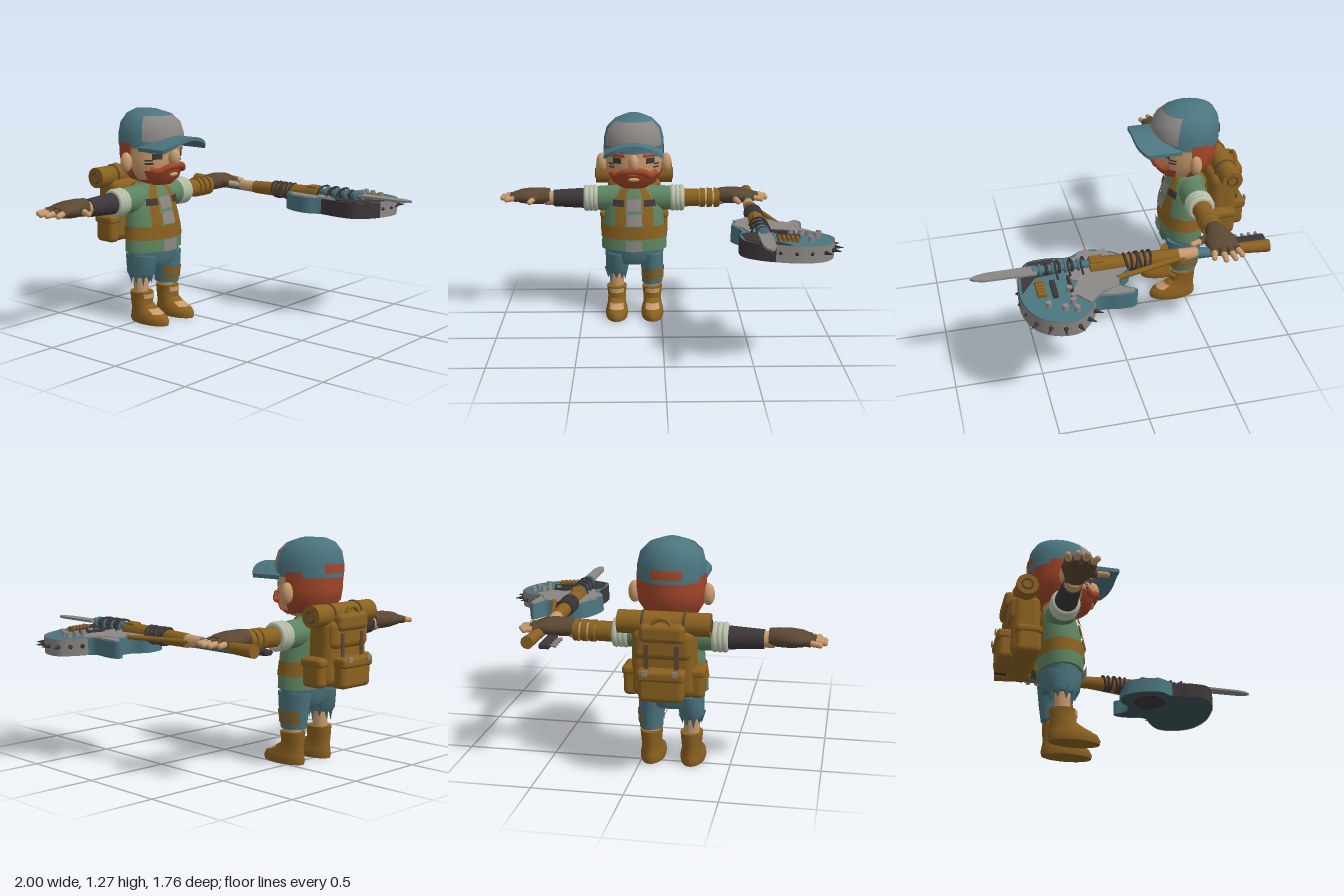
import * as THREE from 'three';
import { toCreasedNormals } from 'three/addons/utils/BufferGeometryUtils.js';
import { RoundedBoxGeometry } from 'three/addons/geometries/RoundedBoxGeometry.js';

const mat = (name, color, side = THREE.FrontSide) => {
  const m = new THREE.MeshStandardMaterial({ color, side });
  m.name = name;
  return m;
};

export function createModel() {
  const D = THREE.DoubleSide;
  const teal = mat('teal cloth', 0x4b757f, D), brown = mat('brown leather', 0x8a6120, D);
  const green = mat('green shirt', 0x5f8460), dark = mat('charcoal', 0x3c3638, D);
  const skin = mat('skin', 0xc79a6c, D), red = mat('red hair', 0xa4472a, D);
  const gray = mat('gray metal', 0x8b8784, D), cream = mat('cream cuff', 0xb9c2ac);
  const glove = mat('glove brown', 0x5b4733), slate = mat('slate', 0x3d5258);

  const model = new THREE.Group();
  const figure = new THREE.Group();
  figure.name = 'figure';
  figure.position.set(-0.17, 0, -0.53);
  const guitar = new THREE.Group();
  guitar.name = 'guitar';
  model.add(figure, guitar);

  const V = (x, y, z) => new THREE.Vector3(x, y, z);
  const add = (parent, name, geo, m, x = 0, y = 0, z = 0) => {
    const mesh = new THREE.Mesh(geo, m);
    mesh.name = name;
    mesh.position.set(x, y, z);
    parent.add(mesh);
    return mesh;
  };
  // Skin over elliptical rows [y, rx, rz, cz, cx]; angle 0 faces +z
  const loft = (rows, a0 = 0, a1 = Math.PI * 2, n = 24, caps = true) => {
    const pos = [], idx = [], w = n + 1;
    rows.forEach(([y, rx, rz, cz = 0, cx = 0]) => {
      for (let j = 0; j <= n; j++) {
        const a = a0 + (a1 - a0) * j / n;
        pos.push(cx + rx * Math.sin(a), y, cz + rz * Math.cos(a));
      }
    });
    for (let i = 0; i < rows.length - 1; i++) for (let j = 0; j < n; j++) {
      const p = i * w + j;
      idx.push(p, p + 1, p + w + 1, p, p + w + 1, p + w);
    }
    if (caps) [0, rows.length - 1].forEach((r) => {
      const [y, , , cz = 0, cx = 0] = rows[r], c = pos.length / 3;
      pos.push(cx, y, cz);
      for (let j = 0; j < n; j++) {
        const p = r * w + j;
        if (r) idx.push(c, p, p + 1); else idx.push(c, p + 1, p);
      }
    });
    const g = new THREE.BufferGeometry();
    g.setAttribute('position', new THREE.Float32BufferAttribute(pos, 3));
    g.setIndex(idx);
    return toCreasedNormals(g, 0.8);
  };
  // Thin layer lying on a loft between two heights and two angles
  const patch = (rows, y0, y1, a0, a1, off) => {
    const at = (y) => {
      let i = 0;
      while (i < rows.length - 2 && rows[i + 1][0] < y) i++;
      const A = rows[i], B = rows[i + 1], t = (y - A[0]) / (B[0] - A[0]);
      const mix = (k) => (A[k] || 0) + ((B[k] || 0) - (A[k] || 0)) * t;
      return [y, mix(1) + off, mix(2) + off, mix(3), mix(4)];
    };
    const ys = rows.map((r) => r[0]).filter((y) => y > y0 + 0.001 && y < y1 - 0.001);
    return loft([y0, ...ys, y1].map(at), a0, a1, 24, false);
  };
  const rod = (parent, name, p, q, r1, r2, m, n = 16) => {
    const d = q.clone().sub(p);
    const mesh = add(parent, name, new THREE.CylinderGeometry(r2, r1, d.length(), n), m);
    mesh.position.copy(p).addScaledVector(d, 0.5);
    mesh.quaternion.setFromUnitVectors(V(0, 1, 0), d.normalize());
    return mesh;
  };
  const ball = (parent, name, m, x, y, z, a, b, c) =>
    add(parent, name, new THREE.SphereGeometry(1, 18, 12), m, x, y, z).scale.set(a, b, c);
  const box = (parent, name, m, x, y, z, w, h, d, r = 0.01) =>
    add(parent, name, new RoundedBoxGeometry(w, h, d, 2, r), m, x, y, z);
  const ring = (parent, name, m, x, y, z, r, t, axis) => {
    const mesh = add(parent, name, new THREE.TorusGeometry(r, t, 8, 24), m, x, y, z);
    if (axis === 'x') mesh.rotation.y = Math.PI / 2;
    return mesh;
  };

  // Head, hair and beard
  const head = [[0.835, 0.07, 0.08, 0.06], [0.87, 0.135, 0.135, 0.04], [0.93, 0.17, 0.17, 0.025],
    [1.0, 0.178, 0.175, 0.02], [1.1, 0.178, 0.178, 0.02]];
  add(figure, 'head', loft(head), skin);
  rod(figure, 'neck', V(0, 0.78, 0), V(0, 0.88, 0), 0.07, 0.07, skin);
  add(figure, 'hair', patch(head, 0.86, 1.09, 1.5, Math.PI * 2 - 1.5, 0.01), red);
  add(figure, 'beard', patch(head, 0.835, 0.93, -1.05, 1.05, 0.016), red);
  add(figure, 'chin', loft([[0.83, 0.05, 0.06, 0.07], [0.85, 0.1, 0.11, 0.06], [0.87, 0.14, 0.14, 0.05]]), red);
  ball(figure, 'lip', skin, 0, 0.9, 0.205, 0.035, 0.012, 0.012);
  ball(figure, 'nose', skin, 0, 1.0, 0.205, 0.034, 0.055, 0.04);
  for (const s of [-1, 1]) {
    ball(figure, 'ear', skin, s * 0.2, 0.975, 0.01, 0.035, 0.06, 0.035);
    const curl = new THREE.CatmullRomCurve3([V(0, 0.955, 0.222), V(s * 0.055, 0.95, 0.215), V(s * 0.1, 0.925, 0.18), V(s * 0.135, 0.935, 0.14)]);
    add(figure, 'moustache', new THREE.TubeGeometry(curl, 16, 0.021, 8), red);
    const a = s * 0.6;
    add(figure, 'eye', patch(head, 0.995, 1.03, a - 0.17, a + 0.17, 0.005), dark);
    add(figure, 'eyebrow', patch(head, 1.035, 1.055, a - 0.3, a + 0.3, 0.012), red);
    for (const y of [0.965, 0.985]) add(figure, 'cheek mark', patch(head, y, y + 0.01, s * 0.88 - 0.14, s * 0.88 + 0.14, 0.005), dark);
  }

  // Cap
  const cap = [[1.06, 0.186, 0.196, 0.02], [1.13, 0.186, 0.198, 0.02], [1.2, 0.168, 0.182, 0.015],
    [1.25, 0.118, 0.142, 0.005], [1.275, 0.05, 0.08, -0.01]];
  add(figure, 'cap', loft(cap), teal);
  add(figure, 'cap front panel', patch(cap, 1.1, 1.245, -1.1, 1.1, 0.006), gray);
  add(figure, 'cap back opening', patch(cap, 1.085, 1.135, Math.PI - 0.45, Math.PI + 0.45, 0.005), red);
  const bill = new THREE.BoxGeometry(0.36, 0.022, 0.26, 16, 1, 8), bp = bill.attributes.position;
  for (let i = 0; i < bp.count; i++) {
    const u = bp.getX(i) / 0.18, f = (bp.getZ(i) + 0.13) / 0.26;
    bp.setY(i, bp.getY(i) - 0.065 * u * u);
    bp.setZ(i, bp.getZ(i) - 0.06 * f * u ** 4);
  }
  add(figure, 'cap bill', toCreasedNormals(bill, 0.8), teal, 0, 1.12, 0.22);

  // Shirt, belt and chest straps
  const torso = [[0.435, 0.205, 0.13, 0.03], [0.5, 0.203, 0.13, 0.03], [0.6, 0.188, 0.13, 0.025],
    [0.7, 0.182, 0.12, 0.01], [0.78, 0.16, 0.105, 0], [0.83, 0.09, 0.075, 0]];
  add(figure, 'shirt', loft(torso), green);
  add(figure, 'belt', patch(torso, 0.51, 0.59, 0, Math.PI * 2, 0.007), brown);
  add(figure, 'chest strap', patch(torso, 0.61, 0.665, -0.65, 0.65, 0.012), brown);
  add(figure, 'upper chest strap', patch(torso, 0.7, 0.735, -0.55, 0.55, 0.012), brown);
  for (const y of [0.435, 0.6, 0.69]) add(figure, 'center plate', patch(torso, y, y + 0.07, -0.24, 0.24, 0.016), gray);
  for (const s of [-1, 1]) {
    add(figure, 'shoulder strap', patch(torso, 0.59, 0.83, s * 0.47 - 0.18, s * 0.47 + 0.18, 0.01), brown);
    add(figure, 'strap pouch', patch(torso, 0.715, 0.755, s * 0.55 - 0.22, s * 0.55 + 0.22, 0.018), dark);
    add(figure, 'back strap', patch(torso, 0.6, 0.83, Math.PI - s * 0.5 - 0.18, Math.PI - s * 0.5 + 0.18, 0.01), brown);
  }

  // Arms and hands
  const AY = 0.745;
  for (const s of [-1, 1]) {
    const along = (name, x0, x1, r0, r1, m) => rod(figure, name, V(s * x0, AY, 0), V(s * x1, AY, 0), r0, r1, m);
    along('sleeve', 0.09, 0.25, 0.085, 0.075, green);
    for (const x of [0.243, 0.27, 0.297]) ring(figure, 'sleeve cuff', cream, s * x, AY, 0, 0.064, 0.02, 'x');
    if (s < 0) along('dark arm sleeve', 0.29, 0.505, 0.066, 0.053, dark);
    else {
      along('leather arm guard', 0.29, 0.41, 0.058, 0.055, brown);
      for (const x of [0.43, 0.475, 0.52]) along('arm wrap', x - 0.016, x + 0.016, 0.062, 0.06, brown);
    }
    along('forearm', 0.3, 0.56, 0.052, 0.044, skin);
    const palm = add(figure, 'glove', loft([[0.53, 0.047, 0.05], [0.58, 0.052, 0.062], [0.65, 0.05, 0.09],
      [0.71, 0.042, 0.088], [0.75, 0.025, 0.07]]), glove, 0, 0.76, 0);
    palm.rotation.z = -s * Math.PI / 2;
    // Fingers: [base x, base z, tip x, tip z]
    [[0.71, -0.06, 0.8, -0.082], [0.73, -0.025, 0.825, -0.035], [0.73, 0.015, 0.825, 0.018],
      [0.71, 0.05, 0.795, 0.075], [0.62, 0.06, 0.645, 0.155]].forEach(([x0, z0, x1, z1]) => {
      const p = V(s * x0, 0.76, z0), q = V(s * x1, 0.75, z1), m = p.clone().lerp(q, 0.5);
      rod(figure, 'glove finger', p, m, 0.025, 0.022, glove, 10);
      rod(figure, 'finger', m, q, 0.018, 0.015, skin, 10);
      ball(figure, 'fingertip', skin, q.x, q.y, q.z, 0.016, 0.016, 0.016);
    });
  }

  // Shorts, legs and boots
  add(figure, 'shorts hip', loft([[0.34, 0.12, 0.09, 0.03], [0.38, 0.183, 0.11, 0.03], [0.46, 0.185, 0.115, 0.03]]), teal);
  for (const s of [-1, 1]) {
    const x = s * 0.113, low = s < 0 ? 0.28 : 0.205;
    const leg = [[low, 0.064, 0.08, 0.03, x], [0.3, 0.07, 0.095, 0.03, x], [0.41, 0.075, 0.11, 0.03, s * 0.105]];
    add(figure, 'shorts leg', loft(leg), teal);
    if (s > 0) for (const y of [0.235, 0.275]) add(figure, 'shorts patch', patch(leg, y, y + 0.032, -1.2, 2.6, 0.005), brown);
    else for (let i = 0; i < 9; i++) {
      const a = i * Math.PI * 2 / 9;
      add(figure, 'torn hem', new THREE.ConeGeometry(0.024, 0.05 + 0.025 * (i % 3), 4), teal,
        x + 0.054 * Math.sin(a), 0.27, 0.03 + 0.068 * Math.cos(a)).rotation.x = Math.PI;
    }
    rod(figure, 'leg', V(x, 0.1, 0.03), V(x, 0.36, 0.03), 0.042, 0.048, skin);
    const boot = [[0, 0.066, 0.14, 0.1, x], [0.02, 0.071, 0.145, 0.1, x], [0.05, 0.068, 0.135, 0.095, x],
      [0.08, 0.058, 0.1, 0.065, x], [0.115, 0.056, 0.075, 0.037, x], [0.185, 0.063, 0.076, 0.035, x]];
    add(figure, 'boot', loft(boot), brown);
    for (const [y0, y1] of [[0.065, 0.092], [0.15, 0.178]]) add(figure, 'boot opening', patch(boot, y0, y1, -0.75, 0.75, 0.004), skin);
  }

  // Backpack and bedroll
  const pack = new THREE.Group();
  pack.name = 'backpack';
  figure.add(pack);
  box(pack, 'pack body', brown, 0, 0.66, -0.19, 0.34, 0.38, 0.16, 0.05);
  box(pack, 'pack flap', brown, 0, 0.76, -0.21, 0.31, 0.16, 0.16, 0.04);
  box(pack, 'back pouch', brown, 0, 0.55, -0.285, 0.24, 0.17, 0.1, 0.03);
  box(pack, 'pouch flap', brown, 0, 0.61, -0.29, 0.25, 0.06, 0.11, 0.02);
  for (const s of [-1, 1]) {
    box(pack, 'side pouch', brown, s * 0.175, 0.555, -0.18, 0.08, 0.17, 0.14, 0.03);
    box(pack, 'side pouch flap', brown, s * 0.178, 0.61, -0.18, 0.085, 0.05, 0.15, 0.02);
    box(pack, 'pack strap', glove, s * 0.08, 0.7, -0.293, 0.025, 0.14, 0.008, 0.003);
    box(pack, 'buckle', gray, s * 0.08, 0.63, -0.35, 0.03, 0.03, 0.008, 0.003);
    ring(pack, 'roll strap', glove, s * 0.11, 0.865, -0.205, 0.062, 0.007, 'x');
    ring(pack, 'roll end spiral', glove, s * 0.246, 0.865, -0.205, 0.03, 0.005, 'x');
  }
  rod(pack, 'bedroll', V(-0.245, 0.865, -0.205), V(0.245, 0.865, -0.205), 0.062, 0.062, brown, 20);
  box(pack, 'top pocket', brown, 0, 0.83, -0.275, 0.24, 0.1, 0.08, 0.03);
  add(pack, 'carry handle', new THREE.TorusGeometry(0.05, 0.012, 8, 16, Math.PI), brown, 0, 0.86, -0.29);

  // Guitar body: outline as [x, z]
  const outline = [[0.48, 0.03], [0.41, 0.13], [0.39, 0.24], [0.43, 0.32], [0.415, 0.45], [0.43, 0.55], [0.51, 0.605],
    [0.62, 0.628], [0.75, 0.625], [0.87, 0.57], [0.93, 0.47], [0.93, 0.36], [0.86, 0.285], [0.785, 0.23], [0.795, 0.12],
    [0.79, 0.04], [0.765, 0.02], [0.71, 0.09], [0.64, 0.08], [0.58, 0.02]];
  const bodyGroup = new THREE.Group();
  bodyGroup.name = 'guitarBody';
  bodyGroup.position.set(0.66, 0.725, 0);
  bodyGroup.rotation.z = -0.055;
  guitar.add(bodyGroup);
  const curve = new THREE.CatmullRomCurve3(outline.map(([x, z]) => V(x - 0.66, 0, z)), true);
  const edge = curve.getPoints(100);
  const slab = (parent, name, pts, depth, m, y, x = 0) => {
    const g = new THREE.ExtrudeGeometry(new THREE.Shape(pts.map((p) => new THREE.Vector2(p[0], p[1]))), { depth, bevelEnabled: false });
    return add(parent, name, g.rotateX(Math.PI / 2), m, x, y, 0);
  };
  slab(bodyGroup, 'guitar body', edge.slice(0, 100).map((p) => [p.x, p.z]), 0.085, slate, 0);
  slab(bodyGroup, 'teal deck', edge.slice(0, 100).map((p) => [p.x, p.z]), 0.005, teal, 0.006);
  slab(bodyGroup, 'jagged metal plate', [[0.48, 0.03], [0.44, 0.1], [0.4, 0.12], [0.415, 0.18], [0.385, 0.22], [0.41, 0.27], [0.44, 0.28],
    [0.47, 0.37], [0.53, 0.32], [0.6, 0.38], [0.64, 0.31], [0.72, 0.36], [0.82, 0.28], [0.75, 0.2], [0.72, 0.11], [0.64, 0.08], [0.58, 0.02]],
  0.008, gray, 0.014, -0.66);
  slab(bodyGroup, 'horn plate', [[0.72, 0.11], [0.765, 0.03], [0.785, 0.04], [0.785, 0.13], [0.77, 0.22]], 0.006, gray, 0.012, -0.66);
  slab(bodyGroup, 'dark guard', [[0.425, 0.42], [0.5, 0.37], [0.55, 0.42], [0.56, 0.53], [0.68, 0.62], [0.51, 0.6], [0.435, 0.545]], 0.006, dark, 0.012, -0.66);
  rod(bodyGroup, 'underside patch', V(-0.12, -0.09, 0.2), V(-0.12, -0.08, 0.2), 0.1, 0.1, dark, 24);
  // Rim bands follow the outline
  const rim = (name, t0, t1, m) => {
    const pos = [], idx = [];
    for (let i = 0; i <= 40; i++) {
      const p = curve.getPoint((t0 + (t1 - t0) * i / 40) % 1);
      for (const y of [0.007, -0.087]) pos.push(p.x * 1.015, y, 0.32 + (p.z - 0.32) * 1.015);
      if (i) idx.push(2 * i - 2, 2 * i, 2 * i - 1, 2 * i, 2 * i + 1, 2 * i - 1);
    }
    const g = new THREE.BufferGeometry();
    g.setAttribute('position', new THREE.Float32BufferAttribute(pos, 3));
    g.setIndex(idx);
    g.computeVertexNormals();
    add(bodyGroup, name, g, m);
  };
  rim('dark rim', 0.15, 0.34, dark);
  rim('metal rim', 0.34, 0.63, gray);
  rim('teal rim', 0.63, 1.15, teal);
  // Rim spikes and studs
  for (let i = 0; i < 9; i++) {
    const t = 0.35 + i * 0.033, p = curve.getPoint(t), d = curve.getTangent(t);
    const out = V(-d.z, 0, d.x).multiplyScalar(-d.z * (p.x - 0.02) + d.x * (p.z - 0.4) > 0 ? 1 : -1);
    const long = i > 2 ? 0.055 : 0.02;
    rod(bodyGroup, 'rim spike', p.clone().setY(-0.035), p.clone().setY(-0.035).addScaledVector(out, long), 0.014, 0.001, dark, 8);
  }
  for (const [x, z] of [[0.7, 0.37], [0.76, 0.36], [0.8, 0.37], [0.84, 0.42], [0.8, 0.5], [0.86, 0.36]])
    rod(bodyGroup, 'knob', V(x - 0.66, 0, z), V(x - 0.66, 0.035, z), 0.018, 0.015, gray, 10);
  for (let i = 0; i < 5; i++) box(bodyGroup, 'pickup coil', brown, -0.04 + i * 0.025, 0.02, 0.52, 0.018, 0.03, 0.05, 0.006);
  box(bodyGroup, 'pickup', dark, 0.02, 0.015, 0.45, 0.13, 0.025, 0.03, 0.006);
  box(bodyGroup, 'bridge', dark, 0.0, 0.018, 0.36, 0.13, 0.02, 0.02, 0.006);

  // Guitar neck and headstock
  rod(guitar, 'neck end', V(0.56, 0.735, -0.79), V(0.548, 0.735, -0.61), 0.036, 0.03, brown, 12);
  rod(guitar, 'painted neck', V(0.548, 0.732, -0.62), V(0.535, 0.735, -0.27), 0.028, 0.032, teal, 12);
  rod(guitar, 'bare neck wood', V(0.537, 0.737, -0.38), V(0.538, 0.737, -0.26), 0.033, 0.037, skin, 10);
  rod(guitar, 'neck stock', V(0.538, 0.737, -0.27), V(0.537, 0.745, 0.23), 0.04, 0.05, brown, 8);
  rod(guitar, 'neck strap', V(0.55, 0.735, -0.33), V(0.655, 0.732, 0.1), 0.016, 0.014, brown, 8);
  box(guitar, 'headstock', dark, 0.465, 0.72, -0.705, 0.06, 0.03, 0.19);
  for (let i = 0; i < 4; i++) rod(guitar, 'tuning peg', V(0.45, 0.72, -0.77 + i * 0.04), V(0.405, 0.72, -0.765 + i * 0.04), 0.008, 0.01, gray, 8);
  for (let i = 0; i < 6; i++) ring(guitar, 'rope coil', dark, 0.538, 0.742, -0.1 + i * 0.025, 0.047, 0.008).rotation.x = 0.2 * (i % 3 - 1);

  // Blade mechanism, cables and blade
  box(guitar, 'stock cap', brown, 0.537, 0.78, 0.19, 0.06, 0.035, 0.08);
  rod(guitar, 'blade holder', V(0.537, 0.765, 0.2), V(0.537, 0.77, 0.54), 0.02, 0.022, teal, 10);
  for (let i = 0; i < 7; i++) ring(guitar, 'holder spring', i % 2 ? dark : teal, 0.537, 0.768, 0.29 + i * 0.035, 0.025, 0.009);
  for (const z of [0.24, 0.31, 0.38]) {
    const c = new THREE.CatmullRomCurve3([V(0.48, 0.73, z), V(0.5, 0.79, z + 0.02), V(0.56, 0.8, z + 0.04), V(0.6, 0.73, z + 0.03)]);
    add(guitar, 'cable', new THREE.TubeGeometry(c, 14, 0.006, 6), dark);
  }
  slab(guitar, 'blade', [[0.505, 0.52], [0.58, 0.52], [0.575, 0.8], [0.56, 0.855], [0.542, 0.875], [0.522, 0.85], [0.508, 0.79]], 0.012, gray, 0.778);
  return model;
}
